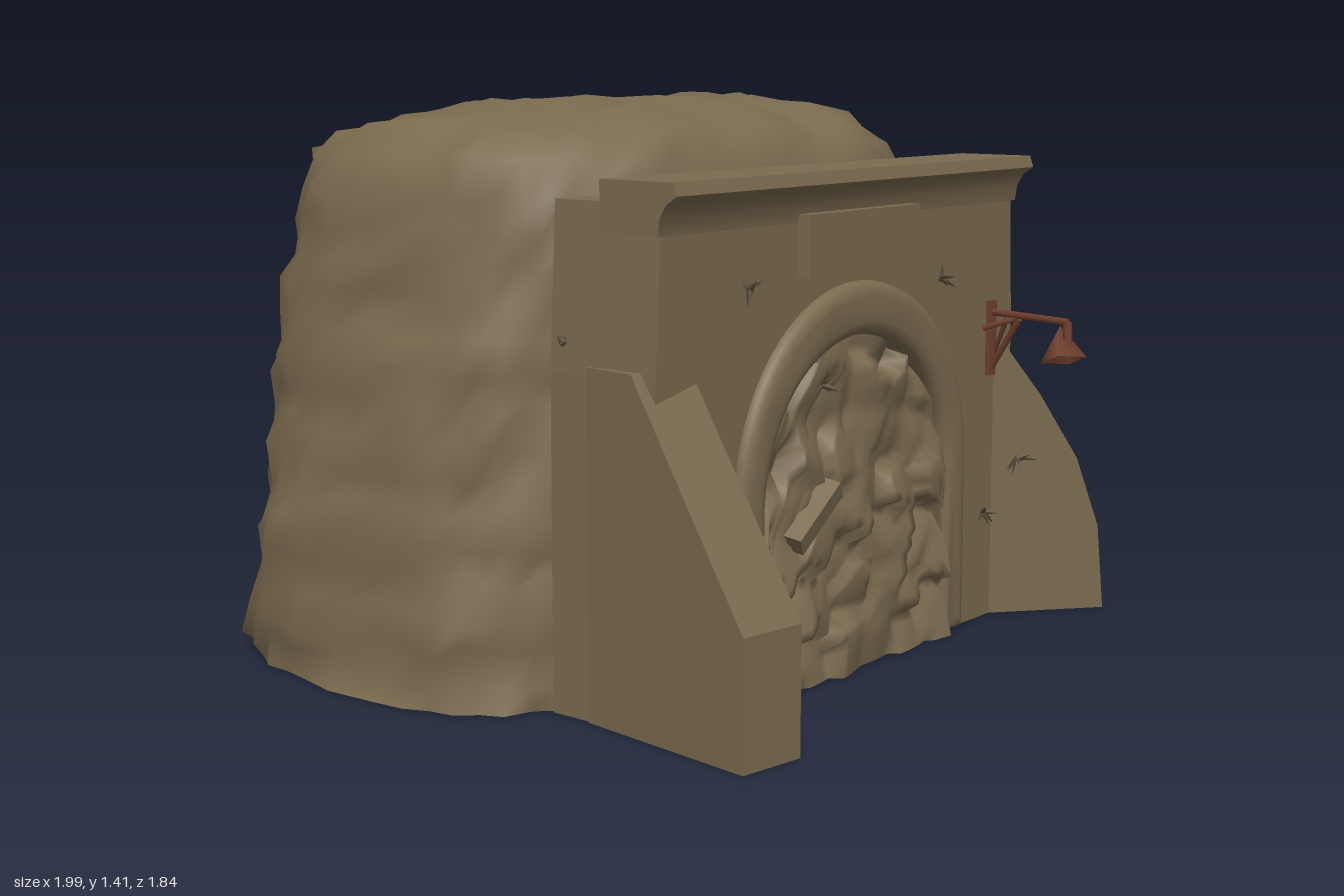
import * as THREE from 'three';
import { toCreasedNormals } from 'three/addons/utils/BufferGeometryUtils.js';

const earth = new THREE.MeshStandardMaterial({ color: 0x7a6a4f, side: THREE.DoubleSide });
earth.name = 'earthStone';
const twig = new THREE.MeshStandardMaterial({ color: 0x5e513b });
twig.name = 'dryTwig';
const rust = new THREE.MeshStandardMaterial({ color: 0x70402f, side: THREE.DoubleSide });
rust.name = 'rustyIron';

// repeatable pseudo-random value in -1..1
const hash = (a, b, c = 0) => {
  const s = Math.sin(a * 127.1 + b * 311.7 + c * 74.7) * 43758.5453;
  return (s - Math.floor(s)) * 2 - 1;
};

const shape = pts => new THREE.Shape(pts.map(p => new THREE.Vector2(...p)));

function add(parent, name, geo, mat) {
  const m = new THREE.Mesh(geo, mat);
  m.name = name;
  parent.add(m);
  return m;
}

// lumpy hill lofted from superelliptic rings: [y, half width, back z, front z]
function moundGeometry() {
  const rings = [
    [0, 0.97, -0.9, 0.4], [0.06, 0.97, -0.9, 0.4], [0.14, 0.96, -0.895, 0.4], [0.22, 0.955, -0.89, 0.4],
    [0.3, 0.945, -0.885, 0.4], [0.38, 0.94, -0.88, 0.4], [0.46, 0.93, -0.875, 0.4], [0.54, 0.92, -0.865, 0.4],
    [0.62, 0.91, -0.86, 0.4], [0.7, 0.9, -0.85, 0.4], [0.78, 0.89, -0.845, 0.4], [0.86, 0.875, -0.835, 0.4],
    [0.94, 0.86, -0.83, 0.4], [1.02, 0.845, -0.82, 0.4], [1.1, 0.83, -0.815, 0.4], [1.18, 0.82, -0.805, 0.41],
    [1.26, 0.79, -0.795, 0.39], [1.33, 0.71, -0.75, 0.33], [1.37, 0.58, -0.64, 0.22], [1.385, 0.4, -0.48, 0.1],
    [1.39, 0.2, -0.32, -0.06],
  ];
  const n = 60, pos = [], idx = [];
  const pw = (v, e) => Math.sign(v) * Math.abs(v) ** e;
  rings.forEach(([y, hx, zb, zf], r) => {
    const rough = r < 17 ? 1 : r === 17 ? 0.8 : 0.25;
    for (let i = 0; i < n; i++) {
      const a = (i / n) * Math.PI * 2;
      const e = Math.sin(a) > 0 && r < 16 ? 0.64 : 0.72; // fuller corners beside the portal
      const c = pw(Math.cos(a), e), s = pw(Math.sin(a), e);
      const lump = 1 + rough * (0.02 * hash(i, r) + 0.009 * Math.sin(a * 7 + y * 9) + 0.012 * Math.sin(y * 30 + a * 3));
      const x = hx * c * lump - 0.015, z = (zb + zf) / 2 + ((zf - zb) / 2) * s * lump;
      const crest = r > 16 ? 0.016 * Math.cos(x * 17) - 0.11 * Math.max(0, -z - 0.25) : 0;
      pos.push(x, y + crest + (r === 0 ? 0 : 0.022 * rough * hash(i, r, 5)), z);
    }
  });
  pos.push(0, 1.395, -0.19);
  const top = rings.length - 1;
  for (let r = 0; r < top; r++) for (let i = 0; i < n; i++) {
    const j = (i + 1) % n, a = r * n + i, b = r * n + j;
    idx.push(a, a + n, b, b, a + n, b + n);
  }
  for (let i = 0; i < n; i++) idx.push(top * n + i, rings.length * n, top * n + (i + 1) % n);
  const g = new THREE.BufferGeometry();
  g.setAttribute('position', new THREE.Float32BufferAttribute(pos, 3));
  g.setIndex(idx);
  g.computeVertexNormals();
  // underside closes the hill on the ground
  const rim = [];
  for (let i = 0; i < n; i++) rim.push([pos[i * 3], pos[i * 3 + 2]]);
  const base = new THREE.ShapeGeometry(shape(rim)).rotateX(Math.PI / 2);
  return { g, base };
}

// arch outline standing on the ground
const AX = -0.015;
function arch(path, r, spring) {
  path.moveTo(AX - r, 0);
  path.lineTo(AX + r, 0);
  path.lineTo(AX + r, spring);
  path.absarc(AX, spring, r, 0, Math.PI, false);
  path.lineTo(AX - r, 0);
  return path;
}

function rod(parent, name, a, b, r) {
  const p = new THREE.Vector3(...a), q = new THREE.Vector3(...b), d = q.clone().sub(p);
  const m = add(parent, name, new THREE.CylinderGeometry(r, r, d.length(), 6), rust);
  m.position.copy(p).add(q).multiplyScalar(0.5);
  m.quaternion.setFromUnitVectors(new THREE.Vector3(0, 1, 0), d.normalize());
}

// sloping wing wall: starts at (x, z), runs along (ux, uz)
function buttress(parent, name, x, z, ux, uz, width, profile) {
  const g = new THREE.ExtrudeGeometry(shape(profile), { depth: width, bevelEnabled: false }).translate(0, 0, -width / 2);
  const m = add(parent, name, toCreasedNormals(g, 0.5), earth);
  m.rotation.y = Math.atan2(-uz, ux);
  m.position.set(x, 0, z);
}

// rubble face: every point lies on the tilted facet of its nearest stone
function rubbleGeometry() {
  const stones = [];
  for (let k = 0; k < 42; k++) {
    stones.push([0.065 * ((k % 6) * 2 - 5) + 0.05 * hash(k, 1), 0.06 + 0.125 * Math.floor(k / 6) + 0.05 * hash(k, 2)]);
  }
  const n = 34, fill = new THREE.PlaneGeometry(2, 1, n, n), p = fill.attributes.position;
  for (let k = 0; k < p.count; k++) {
    const u = p.getX(k), h = 0.44 + 0.39 * Math.sqrt(Math.max(0, 1 - u * u));
    const x = 0.39 * u, y = h * (p.getY(k) + 0.5);
    let near = 0, best = 9;
    stones.forEach(([sx, sy], i) => {
      const d = Math.hypot(x - sx, y - sy);
      if (d < best) [best, near] = [d, i];
    });
    const [sx, sy] = stones[near];
    const z = 0.635 - 0.06 * y + 0.022 * hash(near, 3) + 0.4 * hash(near, 4) * (x - sx)
      + 0.4 * hash(near, 5) * (y - sy) - 0.15 * best;
    p.setXYZ(k, AX + x, y, THREE.MathUtils.clamp(z, 0.54, 0.67));
  }
  fill.computeVertexNormals();
  return fill;
}

export function createModel() {
  const model = new THREE.Group();
  model.name = 'blockedTunnel';

  // hill
  const { g, base } = moundGeometry();
  add(model, 'hill', g, earth);
  add(model, 'hillBase', base, earth);

  // portal wall with arched opening
  const face = shape([[-0.78, 0], [0.72, 0], [0.72, 0.8], [0.7, 1.19], [-0.76, 1.19], [-0.78, 0.8]]);
  face.holes.push(arch(new THREE.Path(), 0.42, 0.46));
  add(model, 'portalWall', new THREE.ExtrudeGeometry(face, { depth: 0.31, bevelEnabled: false, curveSegments: 16 })
    .translate(0, 0, 0.285), earth);

  // cornice
  const lip = shape([[0.43, 1.12], [0.596, 1.12], [0.602, 1.16], [0.62, 1.19], [0.65, 1.21], [0.64, 1.24], [0.43, 1.24]]);
  add(model, 'cornice', toCreasedNormals(new THREE.ExtrudeGeometry(lip, { depth: 1.5, bevelEnabled: false })
    .rotateY(-Math.PI / 2).translate(0.725, 0, 0), 0.8), earth);

  // plaque above the arch
  add(model, 'plaque', new THREE.BoxGeometry(0.47, 0.15, 0.05), earth).position.set(-0.025, 1.065, 0.605);

  // rounded arch surround, one horseshoe band
  const band = new THREE.Shape();
  band.moveTo(AX + 0.42, 0.035);
  band.lineTo(AX + 0.45, 0.035);
  band.absarc(AX, 0.48, 0.45, 0, Math.PI, false);
  band.lineTo(AX - 0.45, 0.035);
  band.lineTo(AX - 0.42, 0.035);
  band.absarc(AX, 0.445, 0.42, Math.PI, 0, true);
  add(model, 'archSurround', toCreasedNormals(new THREE.ExtrudeGeometry(band, {
    depth: 0.08, bevelThickness: 0.03, bevelSize: 0.034, bevelSegments: 3, curveSegments: 16,
  }).translate(0, 0, 0.515), 0.8), earth);

  // wing walls
  buttress(model, 'rightButtress', -0.7, 0.41, -0.14, 0.99, 0.175,
    [[0, 0], [0.505, 0], [0.505, 0.3], [0.32, 0.57], [0.15, 0.82], [0, 0.82]]);
  buttress(model, 'leftButtress', 0.6, 0.455, 0.77, 0.64, 0.17,
    [[0, 0], [0.445, 0], [0.425, 0.23], [0.36, 0.42], [0.25, 0.6], [0.1, 0.8], [0, 0.82]]);

  // rubble filling the opening
  add(model, 'rubbleFill', rubbleGeometry(), earth);
  const beam = add(model, 'brokenBeam', new THREE.BoxGeometry(0.2, 0.05, 0.05), earth);
  beam.position.set(-0.23, 0.42, 0.625);
  beam.rotation.set(0.2, 0.15, 0.6);

  // small dry tufts growing from the joints
  const spots = [[-0.45, 0.98, 0.6], [0.36, 0.94, 0.6], [-0.58, 0.52, 0.6], [0.68, 0.43, 0.65], [0.59, 0.29, 0.6],
    [-0.655, 0.15, 0.76], [0.74, 0.88, 0.27], [0.74, 0.85, 0.3], [-0.18, 0.73, 0.61], [-0.78, 0.87, 0.32]];
  spots.forEach(([x, y, z], k) => {
    const tuft = new THREE.Group();
    tuft.name = 'tuft';
    tuft.position.set(x, y, z);
    for (let i = 0; i < 8; i++) {
      const d = new THREE.Vector3(hash(k, i, 1), hash(k, i, 2), hash(k, i, 3)).normalize();
      const len = 0.042 + 0.01 * hash(k, i, 4);
      const m = add(tuft, 'sprig', new THREE.ConeGeometry(0.009, len, 4), twig);
      m.quaternion.setFromUnitVectors(new THREE.Vector3(0, 1, 0), d);
      m.position.copy(d).multiplyScalar(len / 2);
    }
    model.add(tuft);
  });

  // rusty lamp on a wall bracket
  const lamp = new THREE.Group();
  lamp.name = 'wallLamp';
  model.add(lamp);
  add(lamp, 'lampPlate', new THREE.BoxGeometry(0.03, 0.2, 0.015), rust).position.set(0.605, 0.76, 0.603);
  rod(lamp, 'lampArm', [0.605, 0.83, 0.6], [0.535, 0.83, 0.87], 0.01);
  rod(lamp, 'lampHook', [0.535, 0.83, 0.87], [0.53, 0.77, 0.875], 0.012);
  rod(lamp, 'lampBrace', [0.605, 0.68, 0.605], [0.585, 0.82, 0.7], 0.009);
  rod(lamp, 'lampSideBrace', [0.56, 0.79, 0.605], [0.585, 0.82, 0.69], 0.007);
  rod(lamp, 'lampSideBrace', [0.62, 0.72, 0.605], [0.59, 0.82, 0.66], 0.007);
  const shade = add(lamp, 'lampShade', new THREE.ConeGeometry(0.06, 0.09, 4, 1, true), rust);
  shade.position.set(0.535, 0.775, 0.855);
  shade.rotation.set(-0.2, 0.3, -0.25);

  return model;
}
